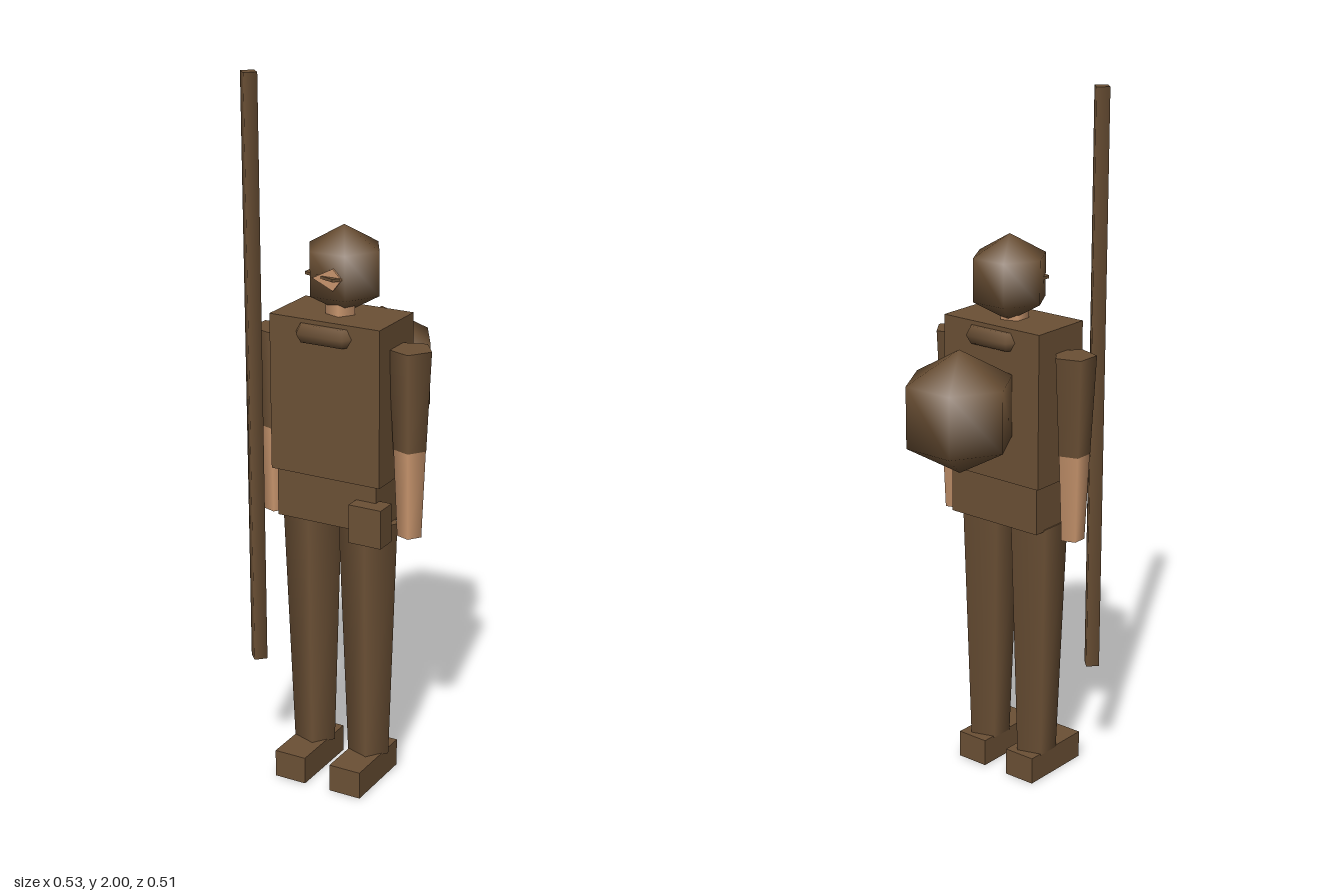
import * as THREE from 'three';

const brown = new THREE.MeshStandardMaterial({ color: 0x6b5035 });
brown.name = 'earth brown';
const skin = new THREE.MeshStandardMaterial({ color: 0xc8956d });
skin.name = 'skin';

const MID = -0.007; // the figure stands slightly off the origin
const DEPTH = 0.105;

export function createModel() {
  const model = new THREE.Group();
  model.name = 'figure';

  const add = (name, geometry, material, x = 0, y = 0, z = 0) => {
    const mesh = new THREE.Mesh(geometry, material);
    mesh.name = name;
    mesh.position.set(x, y, z);
    model.add(mesh);
    return mesh;
  };
  // Box given by its lower and upper limits
  const box = (name, x0, x1, y0, y1, z0, z1) =>
    add(name, new THREE.BoxGeometry(x1 - x0, y1 - y0, z1 - z0), brown,
      (x0 + x1) / 2, (y0 + y1) / 2, (z0 + z1) / 2);
  // Tapered prism with one corner pointing to +x
  const limb = (name, material, x, z, y0, y1, r0, r1, sides = 5) =>
    add(name, new THREE.CylinderGeometry(r1, r0, y1 - y0, sides).rotateY(Math.PI / 2),
      material, x, (y0 + y1) / 2, z);

  // Body
  box('torso', -0.173, 0.16, 0.918, 1.358, 0.008, 0.2);
  box('hips', -0.16, 0.145, 0.78, 0.918, 0.02, 0.19);
  box('beltPouch', 0.085, 0.182, 0.76, 0.87, 0.17, 0.232);

  // Collar ring with six sides
  add('collar', new THREE.TorusGeometry(0.11, 0.029, 6, 6).rotateX(Math.PI / 2),
    brown, MID, 1.321, DEPTH);

  // Neck and hooded head
  limb('neck', skin, MID, DEPTH, 1.33, 1.4, 0.042, 0.042);
  add('head', new THREE.SphereGeometry(0.122, 6, 3), brown, MID, 1.475, 0.087);

  // Skin showing at the front of the hood
  const face = new THREE.Shape([[-0.05, 1.468], [0.012, 1.44], [0.038, 1.473], [0.012, 1.5]]
    .map(([x, y]) => new THREE.Vector2(x, y)));
  add('face', new THREE.ExtrudeGeometry(face, { depth: 0.008, bevelEnabled: false }),
    skin, 0, 0, 0.176);

  // Small crooked brim
  const brim = new THREE.Shape([[-0.07, 0.1], [0.045, 0.1], [0.045, 0.172], [0.02, 0.2], [-0.083, 0.164], [-0.083, 0.14]]
    .map(([x, z]) => new THREE.Vector2(x, z)));
  add('brim', new THREE.ExtrudeGeometry(brim, { depth: 0.008, bevelEnabled: false })
    .rotateX(Math.PI / 2), brown, 0, 1.477, 0);

  // Arms, legs and feet on both sides
  for (const [side, s] of [['left', 1], ['right', -1]]) {
    const armX = MID + s * 0.211;
    limb(side + 'Sleeve', brown, armX, DEPTH, 1.01, 1.29, 0.047, 0.061);
    limb(side + 'Forearm', skin, armX, DEPTH, 0.76, 1.01, 0.035, 0.046);
    limb(side + 'Leg', brown, MID + s * 0.087, DEPTH, 0.075, 0.785, 0.061, 0.086);
    const footX = MID + s * 0.088;
    box(side + 'Foot', footX - 0.048, footX + 0.048, 0, 0.08, 0.03, 0.253);
  }

  // Round pack on the back
  add('backpack', new THREE.SphereGeometry(0.175, 6, 3), brown, MID, 1.143, -0.125);

  // Four-sided staff
  limb('staff', brown, -0.218, 0.209, 0.34, 2, 0.026, 0.026, 4);

  return model;
}
